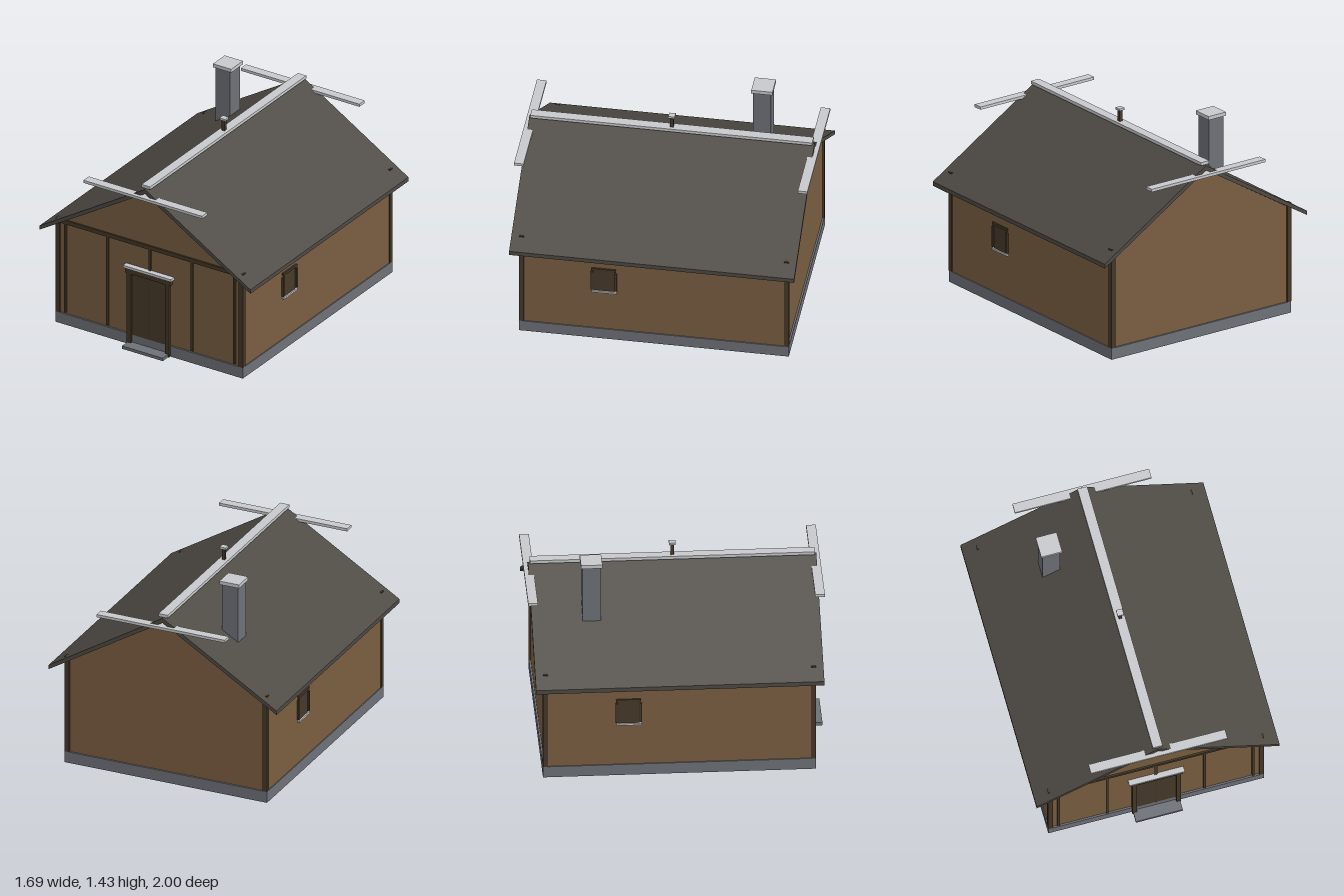
import * as THREE from 'three';

const mat = (name, color, side = THREE.FrontSide) => {
  const m = new THREE.MeshStandardMaterial({ color, side });
  m.name = name;
  return m;
};

export function createModel() {
  const house = new THREE.Group();
  house.name = 'house';
  const wall = mat('wall brown', 0x7a5e41);
  const timber = mat('dark timber', 0x453827);
  const door = mat('door brown', 0x47392a);
  const roofing = mat('roof charcoal', 0x4e4a44);
  const stone = mat('stone grey', 0x6e7178, THREE.DoubleSide);
  const pale = mat('pale grey trim', 0xc8c9cc, THREE.DoubleSide);

  const add = (parent, name, geometry, material) => {
    const mesh = new THREE.Mesh(geometry, material);
    mesh.name = name;
    parent.add(mesh);
    return mesh;
  };

  // Box given by its limits on each axis; open = no underside
  const box = (parent, name, material, [x0, x1], [y0, y1], [z0, z1], open = false) => {
    const g = new THREE.BoxGeometry(x1 - x0, y1 - y0, z1 - z0);
    if (open) {
      const index = Array.from(g.index.array);
      index.splice(18, 6); // bottom face
      g.setIndex(index);
      g.clearGroups();
    }
    g.translate((x0 + x1) / 2, (y0 + y1) / 2, (z0 + z1) / 2);
    return add(parent, name, g, material);
  };

  // Outline in x and y, extruded symmetrically along z
  const prism = (name, material, points, halfDepth) => {
    const shape = new THREE.Shape(points.map(([x, y]) => new THREE.Vector2(x, y)));
    const g = new THREE.ExtrudeGeometry(shape, { depth: halfDepth * 2, bevelEnabled: false });
    g.translate(0, 0, -halfDepth);
    return add(house, name, g, material);
  };

  // Foundation, walls with gables, and roof
  box(house, 'foundation', stone, [-0.75, 0.75], [0, 0.08], [-0.917, 0.917], true);
  prism('walls', wall, [[-0.743, 0.08], [0.743, 0.08], [0.743, 0.752], [0, 1.206], [-0.743, 0.752]], 0.905);
  prism('roof', roofing, [
    [-0.845, 0.693], [0, 1.207], [0.845, 0.693], [0.845, 0.723], [0, 1.24], [-0.845, 0.723],
  ], 0.969);

  // Ridge cap, gable bars and ridge finial
  box(house, 'ridgeCap', pale, [-0.034, 0.034], [1.243, 1.265], [-0.958, 0.958], true);
  box(house, 'frontGableBar', pale, [-0.475, 0.475], [1.166, 1.186], [0.931, 0.996], true);
  box(house, 'backGableBar', pale, [-0.475, 0.475], [1.166, 1.186], [-0.998, -0.933], true);
  box(house, 'finialPost', timber, [-0.011, 0.011], [1.24, 1.347], [-0.011, 0.011]);
  box(house, 'finialCap', pale, [-0.022, 0.022], [1.345, 1.36], [-0.022, 0.022], true);

  // Chimney
  box(house, 'chimney', stone, [-0.4, -0.28], [0.95, 1.405], [-0.627, -0.505]);
  box(house, 'chimneyCap', pale, [-0.412, -0.266], [1.404, 1.43], [-0.639, -0.495], true);

  // Corner posts, front beam and front studs
  for (const sx of [-1, 1]) {
    for (const sz of [-1, 1]) {
      const post = box(house, 'cornerPost', timber, [-0.0165, 0.0165], [0.08, 0.79], [-0.0165, 0.0165]);
      post.position.set(sx * 0.734, 0, sz * 0.901);
    }
  }
  box(house, 'frontBeam', timber, [-0.749, 0.749], [0.76, 0.789], [0.885, 0.916]);
  for (const x of [-0.677, -0.338, 0, 0.338, 0.677]) {
    box(house, 'frontStud', timber, [x - 0.009, x + 0.009], [0.09, 0.765], [0.9, 0.914]);
  }

  // Double door with frame, canopy and step
  const entrance = new THREE.Group();
  entrance.name = 'entrance';
  house.add(entrance);
  for (const s of [-1, 1]) {
    const leaf = box(entrance, 'doorLeaf', door, [-0.067, 0.067], [0.08, 0.548], [0.905, 0.92]);
    leaf.position.x = s * 0.07;
    const jamb = box(entrance, 'doorJamb', timber, [-0.0165, 0.0165], [0, 0.55], [0.914, 0.934]);
    jamb.position.x = s * 0.153;
  }
  box(entrance, 'doorMullion', timber, [-0.006, 0.006], [0.08, 0.548], [0.905, 0.922]);
  box(entrance, 'doorLintel', timber, [-0.18, 0.18], [0.545, 0.583], [0.905, 0.936]);
  box(entrance, 'doorCanopy', pale, [-0.193, 0.193], [0.582, 0.601], [0.905, 0.945], true);
  box(entrance, 'doorStep', stone, [-0.163, 0.163], [0, 0.022], [0.917, 1.0], true);

  // One window per side, the second turned half round
  for (const [name, turn] of [['leftWindow', 0], ['rightWindow', Math.PI]]) {
    const win = new THREE.Group();
    win.name = name;
    win.rotation.y = turn;
    house.add(win);
    box(win, 'windowPane', door, [0.74, 0.748], [0.395, 0.565], [0.272, 0.41]);
    box(win, 'windowHead', timber, [0.74, 0.755], [0.562, 0.58], [0.257, 0.425]);
    box(win, 'windowJamb', timber, [0.74, 0.756], [0.405, 0.55], [0.252, 0.269]);
    box(win, 'windowJamb', timber, [0.74, 0.756], [0.405, 0.55], [0.411, 0.43]);
    box(win, 'windowSill', pale, [0.74, 0.758], [0.384, 0.397], [0.253, 0.424], true);
  }

  return house;
}
